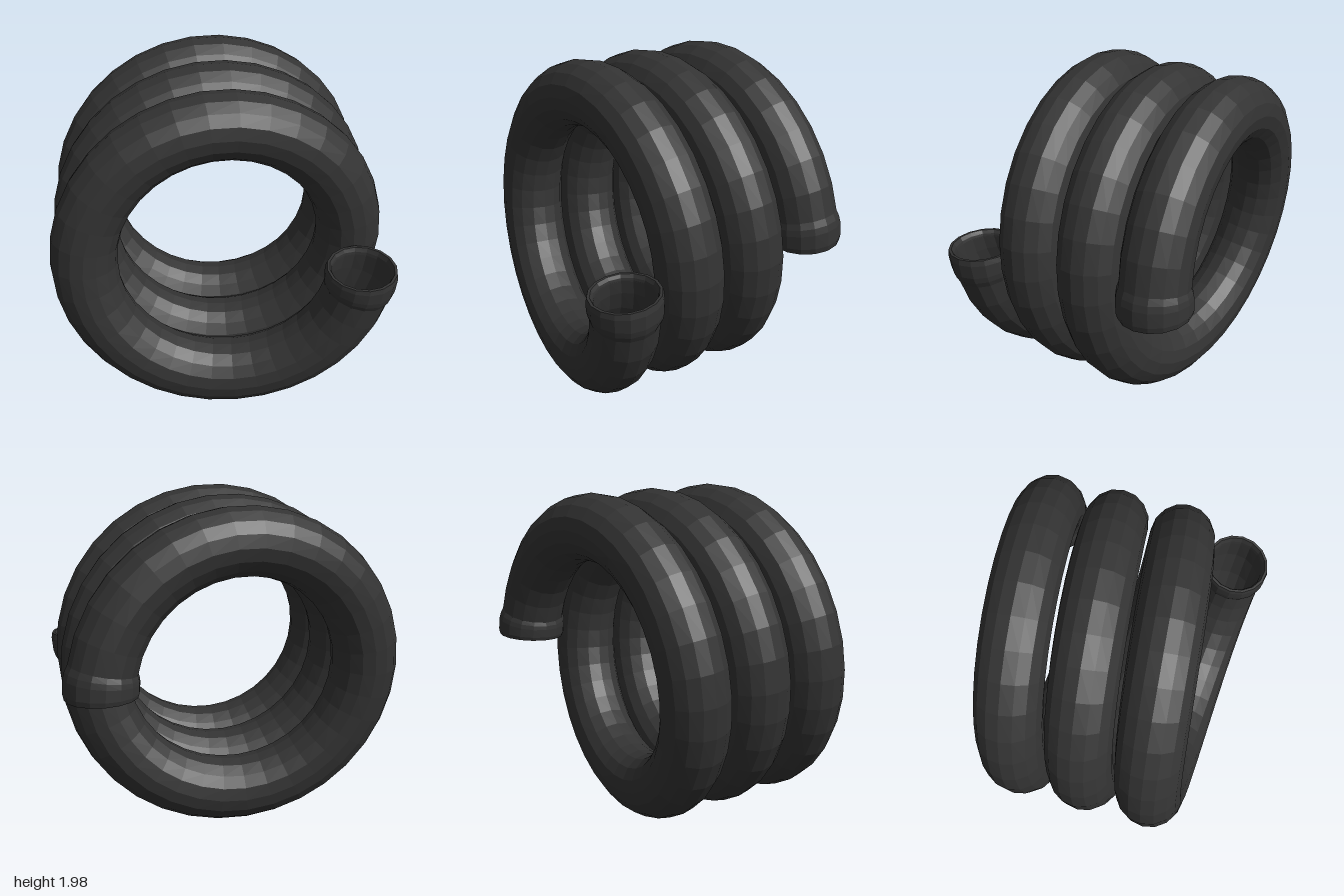
import * as THREE from 'three';

const RING = 0.8;        // radius of the coil centre line
const TUBE = 0.195;      // outer radius of the hose
const BORE = 0.172;      // inner radius of the hose
const PITCH = 0.408;     // advance per turn
const TURNS = 3;
const SIDES = 16;
const STEPS = 34 * TURNS;
const END = TURNS * 2 * Math.PI;

// Sweep a round section along the coil; each station is [angle, section radius].
function sweep(stations) {
  const pos = [], index = [];
  const rise = PITCH / (2 * Math.PI);
  for (const [t, r] of stations) {
    const out = new THREE.Vector3(Math.cos(t), -Math.sin(t), 0);
    const along = new THREE.Vector3(-RING * Math.sin(t), -RING * Math.cos(t), -rise).normalize();
    const side = along.clone().cross(out);
    const centre = out.clone().multiplyScalar(RING);
    centre.z = (END / 2 - t) * rise;
    for (let j = 0; j < SIDES; j++) {
      const a = (j / SIDES) * 2 * Math.PI;
      const p = centre.clone()
        .addScaledVector(out, r * Math.cos(a))
        .addScaledVector(side, r * Math.sin(a));
      pos.push(p.x, p.y, p.z);
    }
  }
  for (let i = 0; i < stations.length - 1; i++) {
    for (let j = 0; j < SIDES; j++) {
      const a = i * SIDES + j, b = i * SIDES + (j + 1) % SIDES;
      index.push(a, b, a + SIDES, b, b + SIDES, a + SIDES);
    }
  }
  const geo = new THREE.BufferGeometry();
  geo.setAttribute('position', new THREE.Float32BufferAttribute(pos, 3));
  geo.setIndex(index);
  geo.computeVertexNormals();
  return geo;
}

export function createModel() {
  const group = new THREE.Group();
  group.name = 'coiledHose';
  const rubber = new THREE.MeshStandardMaterial({ color: 0x333333, flatShading: true });

  const add = (name, geo) => {
    const mesh = new THREE.Mesh(geo, rubber);
    mesh.name = name;
    mesh.position.set(-0.005, 0.99, 0);
    group.add(mesh);
    return mesh;
  };

  // Hose wall: outer skin, and the bore swept backwards so it faces inwards
  const outer = [], inner = [];
  for (let i = 0; i <= STEPS; i++) {
    const t = THREE.MathUtils.clamp((i / STEPS) * END, 0.05, END - 0.05);
    outer.push([t, TUBE]);
    inner.unshift([t, BORE]);
  }
  add('hoseOuterWall', sweep(outer));
  add('hoseInnerWall', sweep(inner));

  // Rounded cuff: from the bore, over the rim, down to the hose skin
  const cuff = sweep([
    [0.06, BORE], [0.03, 0.176], [0, 0.188], [0, 0.204],
    [0.035, 0.211], [0.12, 0.211], [0.16, 0.206], [0.2, 0.194],
  ]);
  add('frontCuff', cuff);
  // The coil maps onto itself under a half turn about x
  add('backCuff', cuff).rotation.x = Math.PI;

  return group;
}
